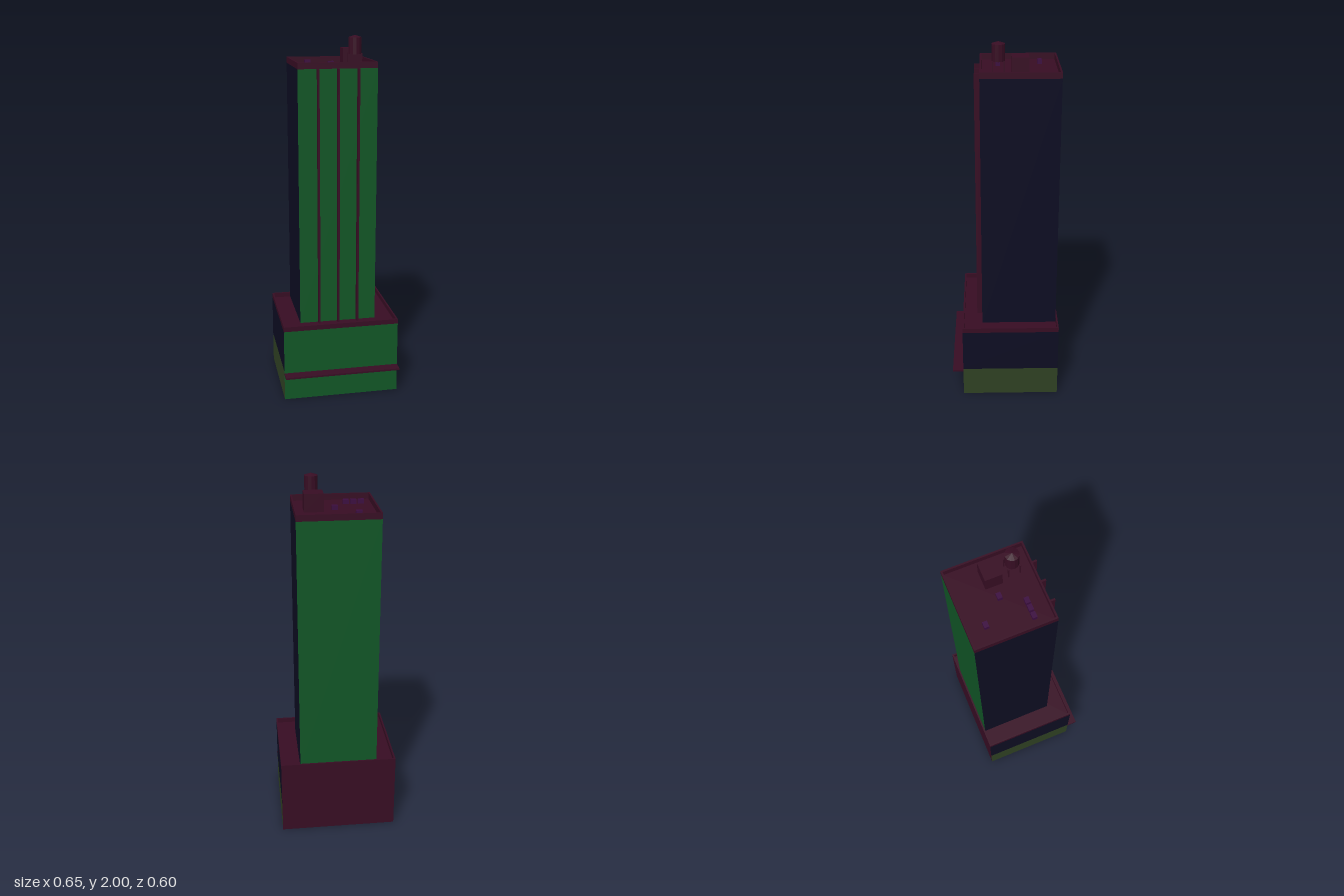
import * as THREE from 'three';

const mat = (name, color) => {
  const m = new THREE.MeshStandardMaterial({ color, side: THREE.DoubleSide });
  m.name = name;
  return m;
};

export function createModel() {
  const green = mat('green facade', 0x115626);
  const navy = mat('navy side', 0x0d0d22);
  const olive = mat('olive shop side', 0x2f4123);
  const maroon = mat('maroon trim', 0x370d23);
  const purple = mat('purple vent', 0x3c0d40);

  const model = new THREE.Group();
  model.name = 'tower';

  const add = (name, geometry, material, x, y, z, parent = model) => {
    const mesh = new THREE.Mesh(geometry, material);
    mesh.name = name;
    mesh.position.set(x, y, z);
    parent.add(mesh);
    return mesh;
  };
  // Box given by its minimum and maximum corners
  const box = (name, material, [x0, y0, z0], [x1, y1, z1], parent) =>
    add(name, new THREE.BoxGeometry(x1 - x0, y1 - y0, z1 - z0), material,
      (x0 + x1) / 2, (y0 + y1) / 2, (z0 + z1) / 2, parent);

  // Open shell wall between two heights: side is front, back, left or right
  const wall = (name, side, material, b, y0, y1) => {
    const alongX = side === 'front' || side === 'back';
    const g = new THREE.PlaneGeometry(alongX ? 2 * b.x : b.z1 - b.z0, y1 - y0);
    g.rotateY({ front: 0, left: Math.PI / 2, back: Math.PI, right: -Math.PI / 2 }[side]);
    const x = { left: b.x, right: -b.x }[side] ?? 0;
    const z = { front: b.z1, back: b.z0 }[side] ?? (b.z0 + b.z1) / 2;
    add(name, g, material, x, (y0 + y1) / 2, z);
  };

  // Flat roof with a raised rim around it
  const roof = (name, b, y, height, t) => {
    const rect = (Type, i) => new Type([
      new THREE.Vector2(-b.x + i, -b.z1 + i), new THREE.Vector2(b.x - i, -b.z1 + i),
      new THREE.Vector2(b.x - i, -b.z0 - i), new THREE.Vector2(-b.x + i, -b.z0 - i)]);
    const deck = new THREE.ShapeGeometry(rect(THREE.Shape, 0)).rotateX(-Math.PI / 2);
    add(name + 'Roof', deck, maroon, 0, y, 0);
    const ring = rect(THREE.Shape, 0);
    ring.holes.push(rect(THREE.Path, t));
    const rim = new THREE.ExtrudeGeometry(ring, { depth: height, bevelEnabled: false });
    add(name + 'Parapet', rim.rotateX(-Math.PI / 2), maroon, 0, y, 0);
  };

  // Podium, open underneath
  const podium = { x: 0.325, z0: -0.30, z1: 0.24 };
  wall('podiumFront', 'front', green, podium, 0, 0.41);
  wall('podiumBack', 'back', maroon, podium, 0, 0.41);
  for (const side of ['left', 'right']) {
    wall(side + 'ShopWall', side, olive, podium, 0, 0.168);
    wall(side + 'PodiumWall', side, navy, podium, 0.168, 0.41);
  }
  roof('podium', podium, 0.41, 0.027, 0.009);
  box('canopy', maroon, [-0.325, 0.15, 0.24], [0.325, 0.16, 0.30]);

  // Tower shaft
  const shaft = { x: 0.216, z0: -0.29, z1: 0.129 };
  wall('shaftFront', 'front', green, shaft, 0.41, 1.832);
  wall('shaftBack', 'back', green, shaft, 0.41, 1.832);
  for (const side of ['left', 'right']) wall(side + 'ShaftWall', side, navy, shaft, 0.41, 1.832);
  roof('shaft', shaft, 1.832, 0.033, 0.009);

  // Vertical fins on the front
  for (const x of [-0.109, 0, 0.109])
    box('fin', maroon, [x - 0.005, 0.41, 0.129], [x + 0.005, 1.832, 0.159]);

  // Roof vents
  for (const [x, z] of [[-0.112, -0.192], [-0.001, -0.08], [-0.153, 0.032], [-0.112, 0.032], [-0.072, 0.032]])
    box('vent', purple, [x - 0.016, 1.832, z - 0.012], [x + 0.016, 1.855, z + 0.012]);

  // Stair house
  box('stairHouse', maroon, [0.06, 1.832, -0.124], [0.161, 1.927, -0.036]);

  // Water tank on four legs
  const tank = new THREE.Group();
  tank.name = 'waterTank';
  tank.position.set(0.111, 0, 0.032);
  model.add(tank);
  for (const x of [-0.03, 0.03])
    for (const z of [-0.03, 0.03])
      box('tankLeg', maroon, [x - 0.003, 1.832, z - 0.003], [x + 0.003, 1.905, z + 0.003], tank);
  const body = new THREE.CylinderGeometry(0.035, 0.035, 0.088, 12).toNonIndexed();
  body.computeVertexNormals();
  add('tankBody', body, maroon, 0, 1.944, 0, tank);
  const cap = new THREE.ConeGeometry(0.036, 0.012, 12, 1, true).toNonIndexed();
  cap.computeVertexNormals();
  add('tankCap', cap, maroon, 0, 1.994, 0, tank);

  return model;
}
